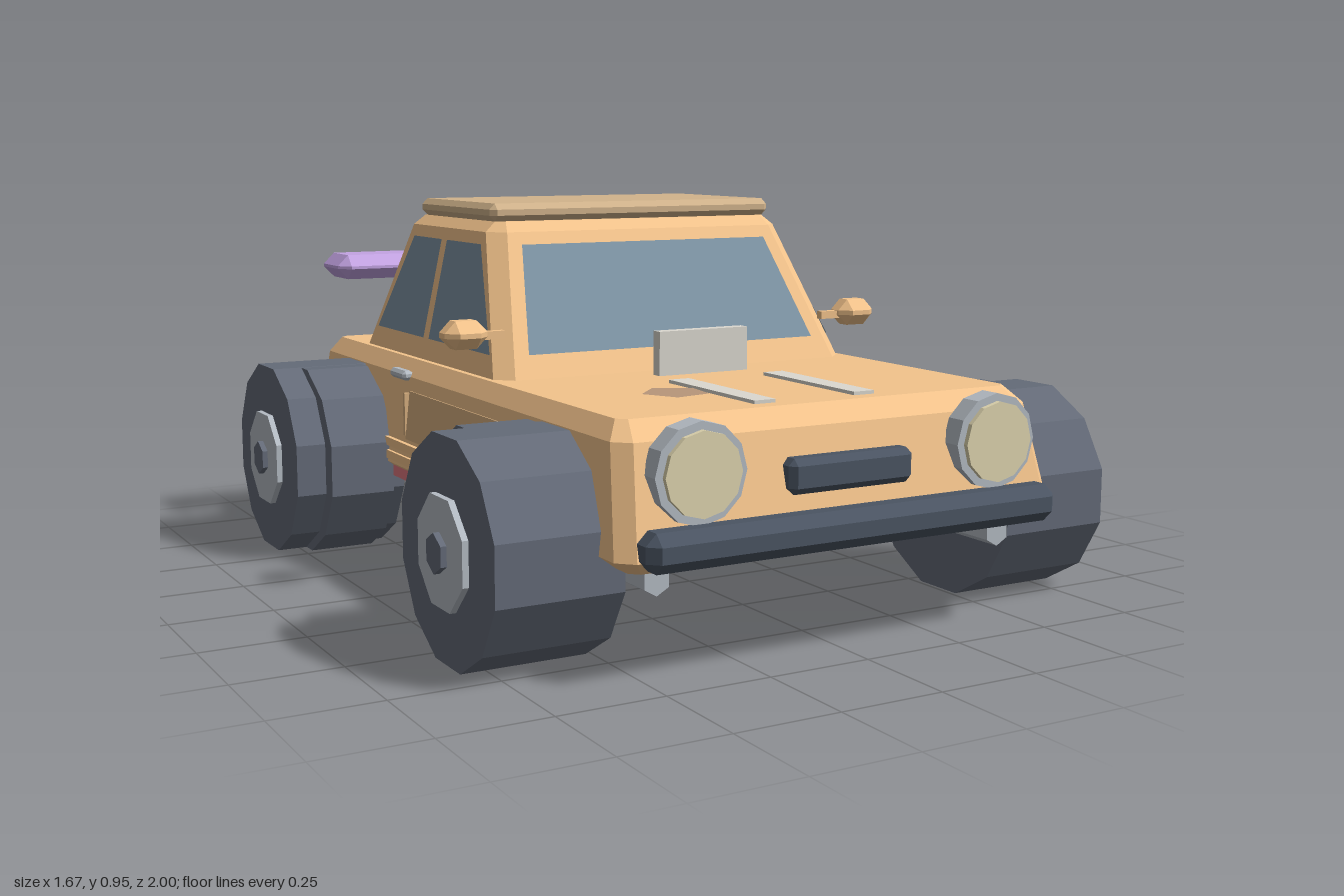
import * as THREE from 'three';
import { ConvexGeometry } from 'three/addons/geometries/ConvexGeometry.js';

const C = {
  body: 0xf4c48c, roof: 0xd2b48c, panel: 0xd8b080, glass: 0x7d93a3, dark: 0x4b5563, tyre: 0x646b78,
  metal: 0xb5bcc4, pale: 0xdcd9d0, lamp: 0xe0d6b0, red: 0xe07880, purple: 0xc4a4e4, patch: 0xb8977a,
};

function mesh(name, geometry, color, x = 0, y = 0, z = 0) {
  const material = new THREE.MeshStandardMaterial({ color, flatShading: true });
  const m = new THREE.Mesh(geometry, material);
  m.name = name;
  m.position.set(x, y, z);
  return m;
}

// Convex solid through horizontal rings [y, half width, back z, front z, corner cut]
function hull(rings) {
  const points = [];
  for (const [y, x, z0, z1, c] of rings) {
    for (const s of [-1, 1]) {
      for (const [px, pz] of [[x - c, z0], [x, z0 + c], [x, z1 - c], [x - c, z1]]) {
        points.push(new THREE.Vector3(s * px, y, pz));
      }
    }
  }
  return new ConvexGeometry(points);
}

// Box with all edges chamfered by c
function chamferBox(w, h, d, c) {
  const p = [];
  for (const sx of [-1, 1]) for (const sy of [-1, 1]) for (const sz of [-1, 1]) {
    const x = w / 2, y = h / 2, z = d / 2;
    p.push(new THREE.Vector3(sx * x, sy * (y - c), sz * (z - c)));
    p.push(new THREE.Vector3(sx * (x - c), sy * y, sz * (z - c)));
    p.push(new THREE.Vector3(sx * (x - c), sy * (y - c), sz * z));
  }
  return new ConvexGeometry(p);
}

// Flat outline [u, y] laid onto a sloping cabin face by a rule
function pane(name, outline, place) {
  const g = new THREE.ShapeGeometry(new THREE.Shape(outline.map(([u, y]) => new THREE.Vector2(u, y))));
  const pos = g.attributes.position;
  for (let i = 0; i < pos.count; i++) pos.setXYZ(i, ...place(pos.getX(i), pos.getY(i)));
  g.computeVertexNormals();
  const m = mesh(name, g, C.glass);
  m.material.side = THREE.DoubleSide;
  return m;
}

// Cylinder lying along x, turned so a flat side faces down
function axleDisc(r, w, n) {
  return new THREE.CylinderGeometry(r, r, w, n).rotateY(Math.PI / n).rotateZ(Math.PI / 2);
}

function wheel(side, z) {
  const g = new THREE.Group();
  g.name = z > 0 ? 'frontWheel' : 'rearWheel';
  g.position.set(side * 0.66, 0.249, z);
  g.add(
    mesh('tyre', axleDisc(0.257, 0.295, 12), C.tyre),
    mesh('innerTyre', axleDisc(0.256, 0.17, 12), C.tyre, side * -0.015, 0, -Math.sign(z) * 0.05),
    mesh('hub', axleDisc(0.13, 0.04, 8), C.metal, side * 0.142),
    mesh('hubNut', axleDisc(0.045, 0.04, 6), C.tyre, side * 0.156),
  );
  return g;
}

export function createModel() {
  const car = new THREE.Group();
  car.name = 'car';
  const box = (w, h, d) => new THREE.BoxGeometry(w, h, d);

  // Lower body and cabin
  car.add(mesh('body', hull([
    [0.235, 0.535, -0.9, 0.92, 0.02],
    [0.265, 0.575, -0.935, 0.95, 0.035],
    [0.5, 0.548, -0.905, 0.885, 0.035],
    [0.54, 0.515, -0.875, 0.83, 0.02],
  ]), C.body));
  car.add(mesh('cabin', hull([
    [0.53, 0.502, -0.716, 0.216, 0.04],
    [0.88, 0.425, -0.545, 0.01, 0.04],
    [0.905, 0.395, -0.515, -0.02, 0.02],
  ]), C.body));
  car.add(mesh('roofPanel', chamferBox(0.82, 0.045, 0.47, 0.015), C.roof, 0, 0.927, -0.26));

  // Windows
  car.add(pane('windscreen', [[-0.41, 0.595], [0.41, 0.595], [0.355, 0.85], [-0.355, 0.85]],
    (x, y) => [x, y, 0.22 - 0.588 * (y - 0.53)]));
  for (const s of [-1, 1]) {
    const onSide = (z, y) => [s * (0.507 - 0.22 * (y - 0.53)), y, z];
    car.add(pane('frontSideWindow', [[0.135, 0.595], [-0.035, 0.85], [-0.25, 0.85], [-0.25, 0.595]], onSide));
    car.add(pane('rearSideWindow', [[-0.285, 0.595], [-0.285, 0.85], [-0.475, 0.85], [-0.615, 0.595]], onSide));
  }

  // Bonnet details
  for (const s of [-1, 1]) car.add(mesh('bonnetStripe', box(0.055, 0.014, 0.37), C.pale, s * 0.133, 0.541, 0.605));
  car.add(mesh('bonnetPlate', box(0.25, 0.11, 0.03), C.pale, 0.003, 0.593, 0.295));
  const patch = new THREE.CircleGeometry(0.08, 5).rotateX(-Math.PI / 2).rotateY(0.5);
  car.add(mesh('bonnetPatch', patch, C.patch, -0.235, 0.544, 0.575));

  // Nose and tail
  car.add(mesh('grille', chamferBox(0.325, 0.078, 0.06, 0.015), C.dark, 0, 0.402, 0.912));
  car.add(mesh('frontBumper', chamferBox(1.07, 0.085, 0.085, 0.025), C.dark, 0, 0.288, 0.957));
  car.add(mesh('rearBumper', chamferBox(1.035, 0.065, 0.075, 0.022), C.metal, 0, 0.303, -0.962));
  for (const s of [-1, 1]) {
    const disc = (r, d) => new THREE.CylinderGeometry(r, r, d, 12).rotateX(Math.PI / 2);
    car.add(mesh('headlightRim', disc(0.11, 0.05), C.metal, s * 0.387, 0.435, 0.92));
    car.add(mesh('headlight', disc(0.092, 0.05), C.lamp, s * 0.387, 0.435, 0.932));
    car.add(mesh('tailLight', chamferBox(0.15, 0.07, 0.04, 0.01), C.red, s * 0.413, 0.41, -0.919));
  }

  // Spoiler and rear deck beacon
  car.add(mesh('spoiler', chamferBox(1.125, 0.068, 0.18, 0.03), C.purple, 0, 0.75, -0.8));
  for (const s of [-1, 1]) {
    car.add(mesh('spoilerPost', chamferBox(0.06, 0.2, 0.06, 0.012), C.dark, s * 0.33, 0.635, -0.8));
  }
  car.add(mesh('deckPlate', box(0.27, 0.012, 0.1), C.metal, 0.235, 0.541, -0.765));
  car.add(mesh('beacon', chamferBox(0.155, 0.055, 0.1, 0.025), C.red, 0.24, 0.598, -0.725));
  car.add(mesh('beaconStem', new THREE.CylinderGeometry(0.03, 0.03, 0.05, 8), C.red, 0.24, 0.56, -0.735));

  // Side details
  for (const s of [-1, 1]) {
    car.add(mesh('mirror', chamferBox(0.11, 0.068, 0.09, 0.028), C.body, s * 0.565, 0.65, 0.147));
    car.add(mesh('mirrorArm', box(0.09, 0.02, 0.02), C.body, s * 0.505, 0.645, 0.147));
    const door = mesh('doorPanel', box(0.02, 0.125, 0.56), C.panel, s * 0.553, 0.402, 0.05);
    door.rotation.z = s * 0.11;
    car.add(door);
    car.add(mesh('doorSeam', box(0.02, 0.11, 0.012), C.panel, s * 0.56, 0.405, -0.235));
    car.add(mesh('doorHandle', chamferBox(0.03, 0.025, 0.1, 0.008), C.metal, s * 0.553, 0.503, -0.29));
    for (const y of [0.285, 0.32]) {
      car.add(mesh('sideMoulding', box(0.03, 0.022, 0.78), C.body, s * 0.564, y, -0.02));
    }
    car.add(mesh('sill', box(0.07, 0.036, 0.98), C.red, s * 0.525, 0.243, -0.31));
    // Hexagonal chassis rails
    const rail = new THREE.CylinderGeometry(0.034, 0.034, 1.76, 6).rotateX(Math.PI / 2);
    car.add(mesh('chassisRail', rail, C.metal, s * 0.455, 0.206, 0));
    for (const z of [0.602, -0.642]) car.add(wheel(s, z));
  }

  // Underside
  car.add(mesh('floorPan', box(0.84, 0.035, 1.3), C.dark, 0, 0.22, 0.06));

  return car;
}
